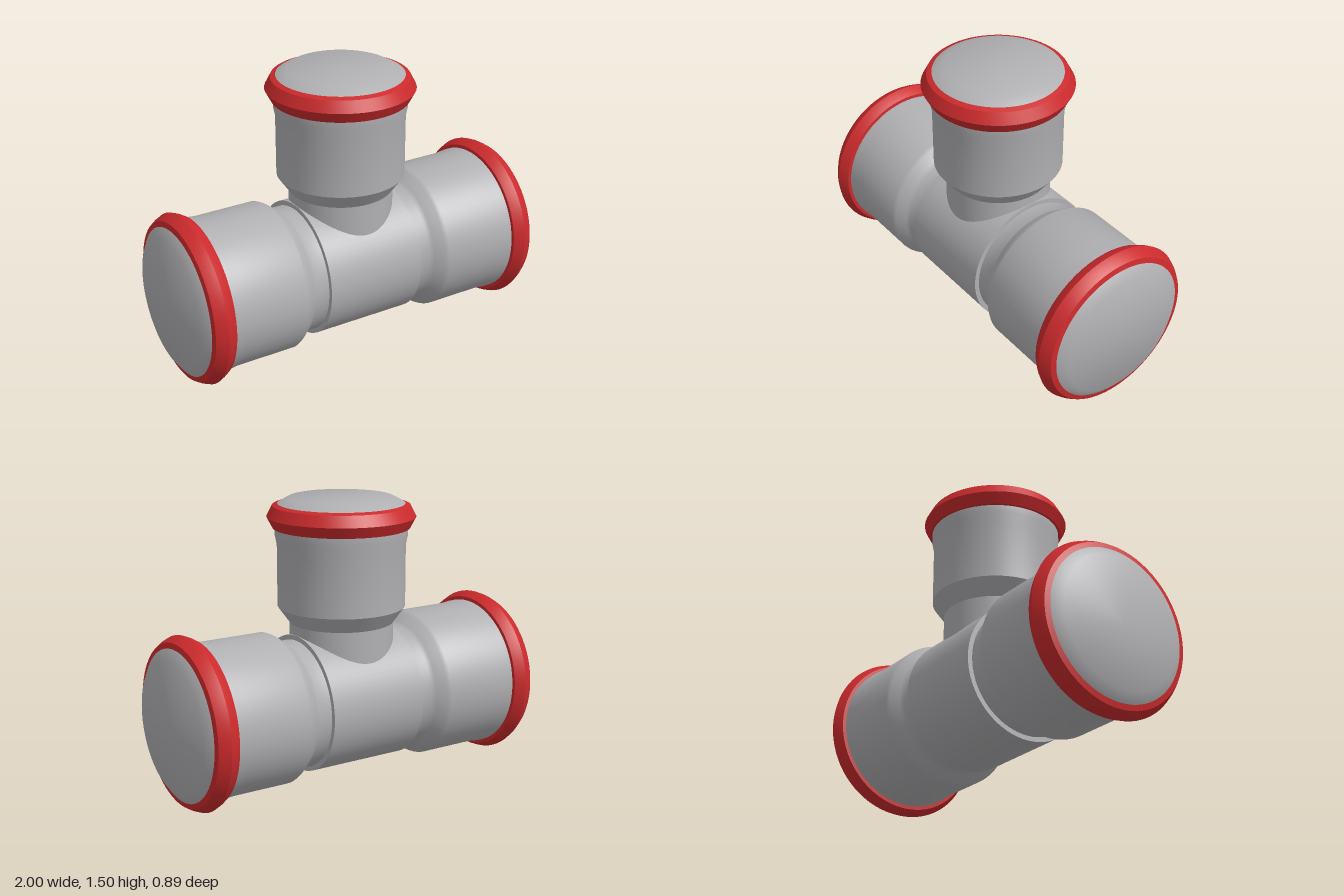
import * as THREE from 'three';
import { toCreasedNormals } from 'three/addons/utils/BufferGeometryUtils.js';

const metal = new THREE.MeshStandardMaterial({ color: 0xb0b0b3 });
metal.name = 'pipe grey';
const sealRed = new THREE.MeshStandardMaterial({ color: 0xcc2a2c });
sealRed.name = 'seal red';

const AXIS_Y = 0.447;

// Turned part from [radius, distance along axis] pairs
function turned(name, profile, material, crease) {
  const points = profile.map(([r, d]) => new THREE.Vector2(r, d));
  const geometry = toCreasedNormals(new THREE.LatheGeometry(points, 72), crease);
  const mesh = new THREE.Mesh(geometry, material);
  mesh.name = name;
  return mesh;
}

// Socket made of a sleeve, a red sealing ring and a closed end cap
function socket(name, sleeve, ring, cap, crease) {
  const group = new THREE.Group();
  group.name = name;
  group.add(
    turned('sleeve', sleeve, metal, crease),
    turned('sealRing', ring, sealRed, 0.5),
    turned('endCap', cap, metal, 1.2)
  );
  return group;
}

export function createModel() {
  const model = new THREE.Group();
  model.name = 'teeFitting';

  // Centre of the straight run, slightly proud of the necks beside it
  const centre = turned('centreBody',
    [[0.3, -0.275], [0.36, -0.275], [0.36, 0.275], [0.3, 0.275]], metal, 0.5);
  centre.rotation.z = -Math.PI / 2;
  centre.position.y = AXIS_Y;
  model.add(centre);

  // Mirrored run sockets
  for (const side of [1, -1]) {
    const end = socket(side > 0 ? 'leftSocket' : 'rightSocket',
      [[0.335, 0.26], [0.335, 0.35], [0.35, 0.37], [0.385, 0.415], [0.395, 0.435],
        [0.395, 0.76], [0.402, 0.82], [0.402, 0.86]],
      [[0.39, 0.845], [0.42, 0.847], [0.435, 0.872], [0.447, 0.902],
        [0.435, 0.932], [0.417, 0.96], [0.388, 0.967]],
      [[0.39, 0.966], [0.34, 1], [0, 1]], 0.75);
    end.rotation.z = -side * Math.PI / 2;
    end.position.y = AXIS_Y;
    model.add(end);
  }

  // Upright branch, its neck running into the centre body
  model.add(socket('branchSocket',
    [[0.272, 0.5], [0.272, 0.855], [0.333, 0.94], [0.333, 1.26], [0.343, 1.31], [0.343, 1.36]],
    [[0.335, 1.35], [0.355, 1.351], [0.385, 1.408], [0.355, 1.465], [0.328, 1.475]],
    [[0.33, 1.474], [0.272, 1.505], [0, 1.505]], 0.4));

  return model;
}
